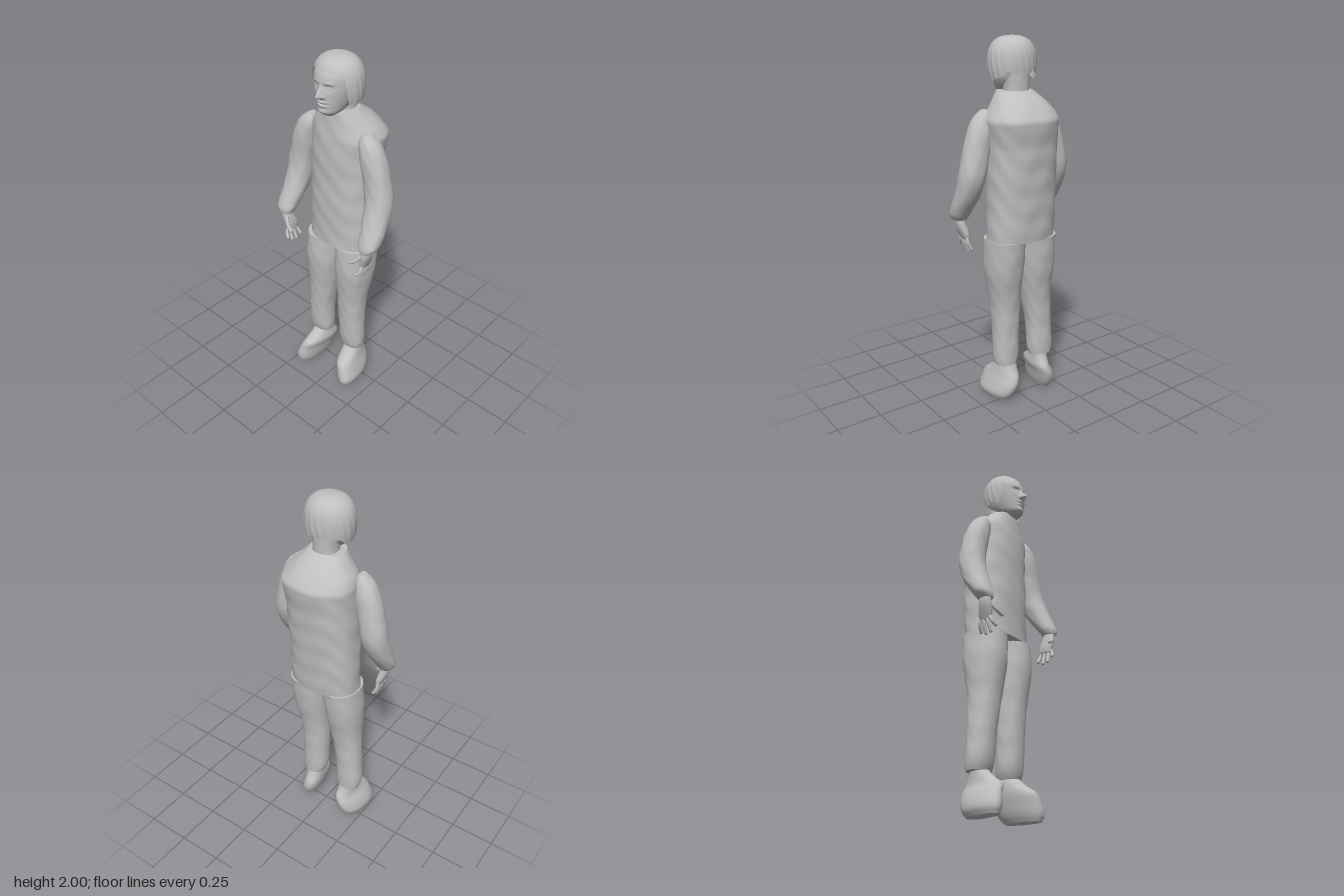
import * as THREE from 'three';

const grey = new THREE.MeshStandardMaterial({ color: 0xbfbfbf });
grey.name = 'plainGrey';
const hairGrey = new THREE.MeshStandardMaterial({ color: 0xbfbfbf, side: THREE.DoubleSide });
hairGrey.name = 'hairGrey';

const gauss = (d, s) => Math.exp(-(d * d) / (s * s));

// Body part from rising rings [y, xMin, xMax, zMin, zMax]; shape() may move each point.
function loft(name, rings, { rows = 28, cols = 40, power = 2.2, smooth = true, shape } = {}) {
  const Interp = smooth ? THREE.CubicInterpolant : THREE.LinearInterpolant;
  const ys = rings.map(r => r[0]);
  const curve = new Interp(ys, rings.flatMap(r => r.slice(1)), 4, new Float32Array(4));
  const pos = [], index = [], y0 = ys[0], y1 = ys[ys.length - 1];
  const bulge = v => Math.sign(v) * Math.abs(v) ** (2 / power);
  for (let i = 0; i <= rows; i++) {
    const y = y0 + (y1 - y0) * i / rows;
    const [a, b, c, d] = curve.evaluate(y);
    for (let j = 0; j < cols; j++) {
      const t = j / cols * Math.PI * 2;
      const p = new THREE.Vector3((a + b) / 2 + (b - a) / 2 * bulge(Math.sin(t)), y,
        (c + d) / 2 + (d - c) / 2 * bulge(Math.cos(t)));
      if (shape) shape(p, t);
      pos.push(p.x, p.y, p.z);
    }
  }
  for (let i = 0; i < rows; i++) for (let j = 0; j < cols; j++) {
    const k = (j + 1) % cols, a = i * cols + j, b = i * cols + k;
    index.push(a, b, a + cols, b, b + cols, a + cols);
  }
  // Flat caps with their own corners so the rims stay crisp
  for (const row of [0, rows]) {
    const start = pos.length / 3, mid = [0, 0, 0];
    for (let j = 0; j < cols; j++) for (let k = 0; k < 3; k++) {
      const v = pos[(row * cols + j) * 3 + k];
      pos.push(v);
      mid[k] += v / cols;
    }
    pos.push(...mid);
    for (let j = 0; j < cols; j++) {
      const a = start + j, b = start + (j + 1) % cols;
      index.push(...(row ? [a, b, start + cols] : [b, a, start + cols]));
    }
  }
  return meshFrom(name, pos, index, grey);
}

function meshFrom(name, pos, index, material) {
  const geo = new THREE.BufferGeometry();
  geo.setAttribute('position', new THREE.Float32BufferAttribute(pos, 3));
  geo.setIndex(index);
  geo.computeVertexNormals();
  const mesh = new THREE.Mesh(geo, material);
  mesh.name = name;
  return mesh;
}

// Soft cloth folds
const folds = amount => (p, t) => {
  const w = Math.sin(p.y * 34 + Math.sin(t * 3) * 2) * Math.sin(t * 4 + p.y * 13);
  p.x += amount * w * Math.sin(t);
  p.z += amount * w * Math.cos(t);
};

// Facial features pushed out of the front of the head
function face(p, t) {
  if (Math.cos(t) < 0.1) return;
  const x = p.x - 0.008, y = p.y, ax = Math.abs(x);
  let d = 0.036 * gauss(x, 0.013) * gauss(y - 1.826, y > 1.826 ? 0.035 : 0.012);
  d += 0.008 * gauss(ax - 0.017, 0.01) * gauss(y - 1.824, 0.01);
  d -= 0.011 * gauss(ax - 0.037, 0.02) * gauss(y - 1.868, 0.014);
  d += 0.007 * gauss(ax - 0.037, 0.012) * gauss(y - 1.866, 0.007);
  d += 0.004 * gauss(ax - 0.035, 0.025) * gauss(y - 1.89, 0.008);
  d += 0.008 * gauss(x, 0.026) * (gauss(y - 1.795, 0.007) + gauss(y - 1.776, 0.008));
  d -= 0.004 * gauss(x, 0.03) * gauss(y - 1.786, 0.004);
  d += 0.006 * gauss(x, 0.025) * gauss(y - 1.745, 0.013);
  p.z += d;
}

// Hair shell: columns run from the crown to a hairline that is high over the face
function makeHair() {
  const cols = 120, rows = 24, pos = [], index = [];
  for (let i = 0; i <= rows; i++) for (let j = 0; j < cols; j++) {
    const t = j / cols * Math.PI * 2, c = Math.cos(t);
    const brow = THREE.MathUtils.smoothstep(c, 0.42, 0.66);
    const nape = THREE.MathUtils.smoothstep(-c, 0.2, 0.8);
    const edge = 1.785 + 0.035 * nape + 0.155 * brow + 0.006 * Math.sin(t * 11);
    const u = i / rows, y = edge + (2 - edge) * (1 - (1 - u) ** 2);
    const h = Math.max(0, (y - 1.86) / 0.14);
    let r = Math.max(0, 1 - h ** 2.6) ** (1 / 2.6);
    r *= 1 - 0.09 * Math.max(0, (1.86 - y) / 0.08) ** 2;
    r *= 1 + 0.012 * Math.sin(t * 20 + y * 30) * (1 - h);
    pos.push(0.01 + 0.13 * r * Math.sin(t), y, 0.043 + 0.119 * r * c);
  }
  for (let i = 0; i < rows; i++) for (let j = 0; j < cols; j++) {
    const k = (j + 1) % cols, a = i * cols + j, b = i * cols + k;
    index.push(a, b, a + cols, b, b + cols, a + cols);
  }
  return meshFrom('hair', pos, index, hairGrey);
}

// Rounded finger bending through three points
function finger(name, points, radius) {
  const group = new THREE.Group();
  group.name = name;
  const path = new THREE.CatmullRomCurve3(points.map(p => new THREE.Vector3(...p)));
  const bone = new THREE.Mesh(new THREE.TubeGeometry(path, 10, radius, 10), grey);
  const tip = new THREE.Mesh(new THREE.SphereGeometry(radius, 10, 8), grey);
  tip.position.set(...points[2]);
  bone.name = name + 'Bone';
  tip.name = name + 'Tip';
  group.add(bone, tip);
  return group;
}

export function createModel() {
  const model = new THREE.Group();
  model.name = 'standingPerson';

  // Jacket body with sloping shoulders
  model.add(loft('torso', [
    [0.95, -0.2, 0.192, -0.14, 0.12], [1.2, -0.197, 0.19, -0.16, 0.122],
    [1.45, -0.19, 0.192, -0.18, 0.122], [1.59, -0.19, 0.207, -0.2, 0.118],
    [1.635, -0.17, 0.182, -0.17, 0.114], [1.68, -0.13, 0.145, -0.13, 0.11],
    [1.73, -0.085, 0.1, -0.058, 0.105]
  ], { rows: 60, cols: 64, power: 2.3, smooth: false, shape: folds(0.0025) }));

  // Neck, head and hair
  model.add(loft('neck', [
    [1.68, -0.06, 0.076, -0.055, 0.085], [1.75, -0.056, 0.072, -0.056, 0.075],
    [1.84, -0.06, 0.076, -0.06, 0.07]
  ], { rows: 8 }));
  model.add(loft('head', [
    [1.718, -0.022, 0.038, 0.08, 0.138], [1.735, -0.044, 0.06, 0.03, 0.158],
    [1.77, -0.066, 0.082, -0.03, 0.164], [1.82, -0.083, 0.099, -0.055, 0.166],
    [1.87, -0.092, 0.108, -0.063, 0.166], [1.92, -0.092, 0.108, -0.062, 0.16],
    [1.955, -0.075, 0.091, -0.045, 0.138], [1.975, -0.05, 0.066, -0.02, 0.11]
  ], { rows: 90, cols: 120, power: 2.1, shape: face }));
  model.add(makeHair());

  // Sleeves and hands on both sides
  const sleeve = [
    [1.06, 0.248, 0.315, 0.102, 0.18], [1.08, 0.237, 0.335, 0.088, 0.183],
    [1.12, 0.226, 0.344, 0.06, 0.17], [1.2, 0.21, 0.342, 0.005, 0.138],
    [1.31, 0.195, 0.336, -0.033, 0.106], [1.4, 0.18, 0.32, -0.034, 0.098],
    [1.55, 0.15, 0.275, -0.025, 0.095], [1.61, 0.148, 0.238, -0.008, 0.082],
    [1.64, 0.168, 0.198, 0.008, 0.065]
  ];
  const palm = [
    [0.95, 0.248, 0.272, 0.092, 0.16], [0.98, 0.246, 0.286, 0.088, 0.17],
    [1.03, 0.255, 0.303, 0.1, 0.175], [1.08, 0.265, 0.305, 0.11, 0.17]
  ];
  for (const [side, s] of [['left', 1], ['right', -1]]) {
    const place = rings => rings.map(([y, a, b, c, d]) => s > 0 ? [y, a, b, c, d] : [y, -b, -a, c, d]);
    model.add(loft(side + 'Sleeve', place(sleeve), { rows: 48, shape: folds(0.0015) }));
    const hand = new THREE.Group();
    hand.name = side + 'Hand';
    hand.add(loft(side + 'Palm', place(palm), { rows: 12, cols: 24 }));
    [0.9, 0.885, 0.89, 0.915].forEach((tipY, i) => {
      const z = 0.1 + i * 0.018;
      hand.add(finger(side + 'Finger' + (i + 1), [
        [s * 0.264, 0.975, z], [s * 0.264, 0.935, z - 0.008 + i * 0.008],
        [s * 0.247, tipY, z - 0.013 + i * 0.013]
      ], 0.009));
    });
    hand.add(finger(side + 'Thumb', [
      [s * 0.268, 1.035, 0.162], [s * 0.24, 1.0, 0.182], [s * 0.21, 0.982, 0.19]
    ], 0.01));
    model.add(hand);
  }

  // Trouser legs
  model.add(loft('rightLeg', [
    [0.22, -0.222, -0.09, -0.05, 0.06], [0.25, -0.23, -0.083, -0.053, 0.07],
    [0.4, -0.225, -0.077, -0.055, 0.086], [0.6, -0.213, -0.045, -0.07, 0.1],
    [0.8, -0.217, -0.015, -0.11, 0.125], [0.955, -0.207, -0.008, -0.13, 0.12]
  ], { rows: 50, shape: folds(0.0015) }));
  model.add(loft('leftLeg', [
    [0.22, 0.025, 0.145, -0.05, 0.06], [0.25, 0.013, 0.152, -0.053, 0.07],
    [0.4, 0.004, 0.153, -0.055, 0.086], [0.6, 0.0, 0.165, -0.07, 0.1],
    [0.8, -0.006, 0.196, -0.11, 0.125], [0.955, -0.006, 0.196, -0.13, 0.12]
  ], { rows: 50, shape: folds(0.0015) }));

  // Chunky shoes, toes turned slightly outward
  const splay = s => p => { p.x += s * (p.z - 0.05) * 0.12; };
  model.add(loft('rightShoe', [
    [0, -0.235, -0.148, -0.04, 0.165], [0.03, -0.248, -0.136, -0.065, 0.175],
    [0.1, -0.232, -0.12, -0.09, 0.167], [0.15, -0.207, -0.105, -0.084, 0.15],
    [0.19, -0.2, -0.11, -0.062, 0.095], [0.235, -0.196, -0.115, -0.045, 0.05]
  ], { rows: 30, shape: splay(-1) }));
  model.add(loft('leftShoe', [
    [0.012, 0.08, 0.162, -0.04, 0.16], [0.04, 0.064, 0.175, -0.065, 0.172],
    [0.1, 0.046, 0.165, -0.09, 0.167], [0.15, 0.036, 0.15, -0.084, 0.15],
    [0.19, 0.036, 0.143, -0.062, 0.095], [0.235, 0.042, 0.135, -0.045, 0.05]
  ], { rows: 30, shape: splay(1) }));

  return model;
}
